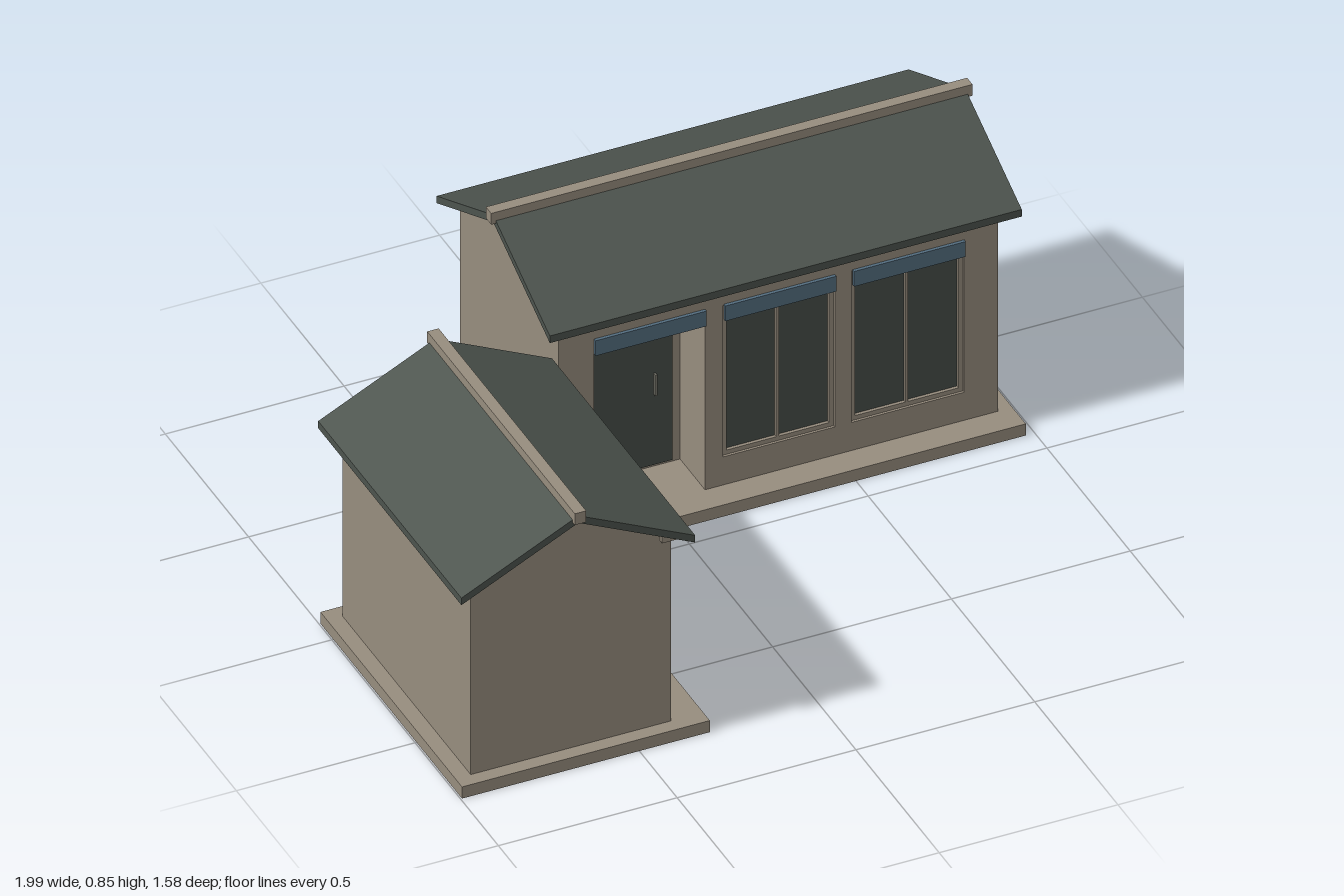
import * as THREE from 'three';

const mat = (name, color, side = THREE.FrontSide) => {
  const m = new THREE.MeshStandardMaterial({ color, side });
  m.name = name;
  return m;
};

export function createModel() {
  const wall = mat('wall stone', 0x978d7e);
  const roof = mat('roof slate', 0x4c534d);
  const glass = mat('dark glazing', 0x464d48);
  const blue = mat('blue trim', 0x546e80);
  const metal = mat('handle metal', 0x77766c);

  const add = (group, name, geometry, material) => {
    const mesh = new THREE.Mesh(geometry, material);
    mesh.name = name;
    group.add(mesh);
    return mesh;
  };
  // Box given by its minimum and maximum corners
  const box = (group, name, material, x0, x1, y0, y1, z0, z1) => {
    const m = add(group, name, new THREE.BoxGeometry(x1 - x0, y1 - y0, z1 - z0), material);
    m.position.set((x0 + x1) / 2, (y0 + y1) / 2, (z0 + z1) / 2);
    return m;
  };
  const polygon = (pts) => new THREE.Shape(pts.map(([x, y]) => new THREE.Vector2(x, y)));
  const rect = (x0, x1, y0, y1) => polygon([[x0, y0], [x1, y0], [x1, y1], [x0, y1]]);
  const extrude = (shape, depth) => new THREE.ExtrudeGeometry(shape, { depth, bevelEnabled: false });
  // Symmetric profile across the house, extruded along its length
  const alongX = (pts, length) =>
    extrude(polygon(pts), length).translate(0, 0, -length / 2).rotateY(Math.PI / 2);

  // A house whose long side lies along x and whose front faces +z
  function house(name, o) {
    const g = new THREE.Group();
    g.name = name;
    const { L, W, top, porch: [p0, p1], door: [d0, d1] } = o;
    const base = 0.036, recess = 0.15, lintel = 0.592;

    // Plinth and solid rear body
    box(g, 'plinth', wall, -L - 0.04, L + 0.04, 0, base, -W - o.back, W + o.front);
    box(g, 'body', wall, -L, L, base, top, -W, W - recess);

    // Front wall with the porch notch and window openings
    const front = polygon([[-L, base], [p0, base], [p0, lintel], [p1, lintel],
      [p1, base], [L, base], [L, top], [-L, top]]);
    for (const [a, b] of o.windows) front.holes.push(rect(a, b, 0.123, lintel));
    const frontWall = add(g, 'frontWall', extrude(front, recess), wall);
    frontWall.position.z = W - recess;

    // Recessed door with its handle
    const dz = W - recess;
    box(g, 'door', glass, d0, d1, 0.046, 0.57, dz, dz + 0.008);
    box(g, 'doorHandle', metal, o.handle - 0.003, o.handle + 0.003, 0.265, 0.33, dz + 0.008, dz + 0.018);
    box(g, 'porchTrim', blue, p0, p1, 0.549, 0.596, W, W + 0.009);

    // Two-pane windows
    for (const [a, b] of o.windows) {
      const mid = (a + b) / 2, f = 0.013;
      const frame = rect(a, b, 0.123, lintel);
      frame.holes.push(rect(a + f, mid - 0.004, 0.136, 0.578), rect(mid + 0.004, b - f, 0.136, 0.578));
      add(g, 'windowFrame', extrude(frame, 0.015), wall).position.z = W - 0.022;
      box(g, 'windowGlass', glass, a, b, 0.123, lintel, W - 0.025, W - 0.016);
      box(g, 'windowTrim', blue, a + 0.003, b, 0.549, 0.596, W, W + 0.009);
    }

    // Gables and eave plates
    add(g, 'gable', alongX([[-W, top], [W, top], [0, top + 0.146]], 2 * L), wall);
    box(g, 'frontEavePlate', wall, -L - 0.012, L + 0.012, top - 0.004, top + 0.016, W - 0.03, W + 0.034);
    box(g, 'backEavePlate', wall, -L, L, top, top + 0.018, -W, -W + 0.06);

    // Pitched roof and ridge cap
    const R = o.roofHalf, e = top - 0.003, r = top + 0.177, t = 0.022;
    add(g, 'roof', alongX([[-R, e], [0, r - t], [R, e], [R, e + t], [0, r], [-R, e + t]],
      2 * L + 0.09), roof);
    box(g, 'ridgeCap', wall, -L - 0.058, L + 0.058, r - 0.016, r + 0.019, -0.016, 0.016);
    return g;
  }

  const model = new THREE.Group();
  model.name = 'courtyardHouses';

  const main = house('mainHouse', {
    L: 0.615, W: 0.295, top: 0.658, roofHalf: 0.34, front: 0.08, back: 0.04,
    porch: [-0.515, -0.205], door: [-0.49, -0.23], handle: -0.28,
    windows: [[-0.155, 0.158], [0.205, 0.52]],
  });
  main.position.set(0.32, 0, -0.448);

  const side = house('sideHouse', {
    L: 0.385, W: 0.28, top: 0.607, roofHalf: 0.327, front: 0.09, back: 0.043,
    porch: [-0.287, 0.29], door: [-0.132, 0.134], handle: 0.083, windows: [],
  });
  side.rotation.y = Math.PI / 2;
  side.position.set(-0.673, 0, 0.348);

  model.add(main, side);
  return model;
}
